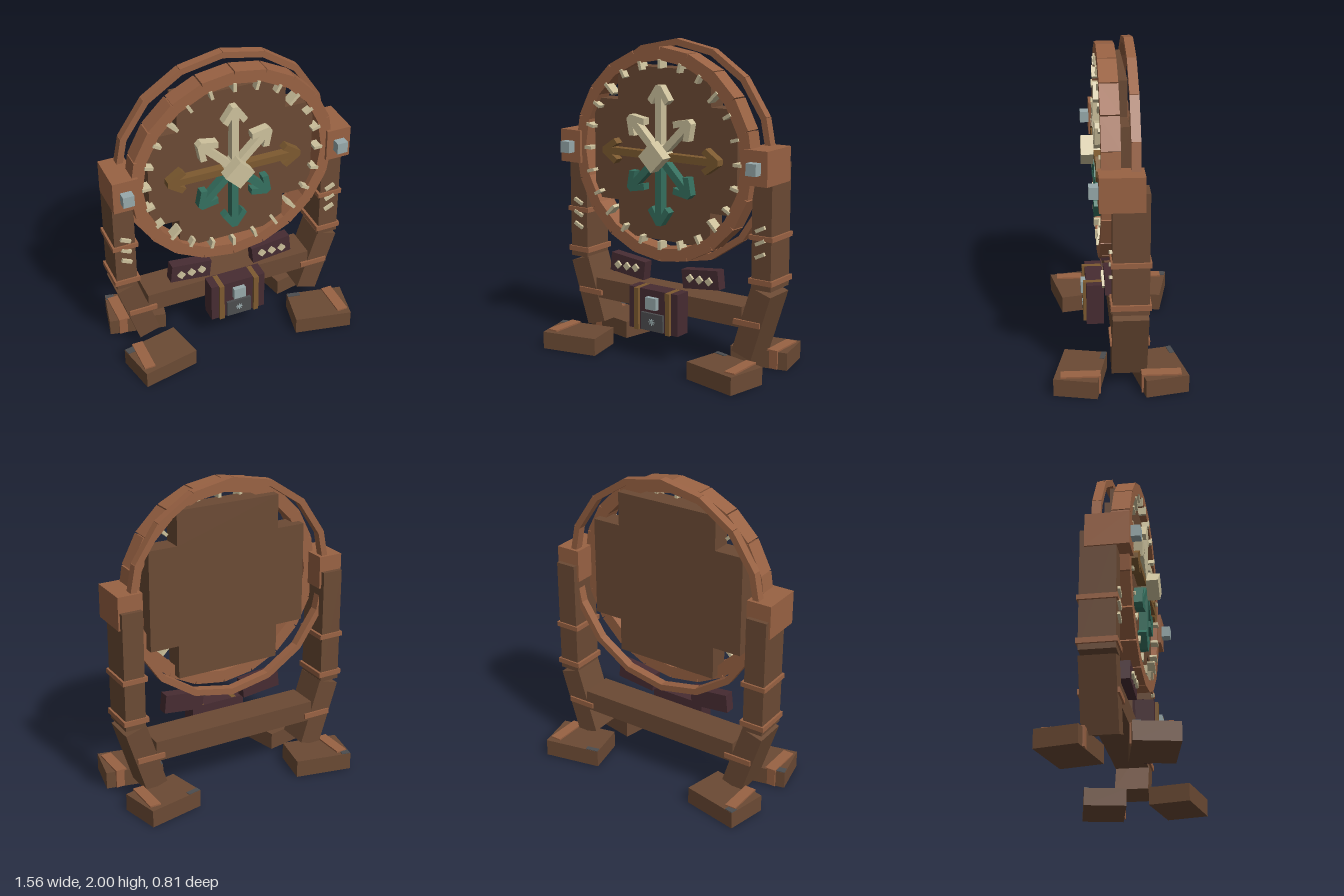
import * as THREE from 'three';

const mat = (name, color) => {
  const m = new THREE.MeshStandardMaterial({ color });
  m.name = name;
  return m;
};

export function createModel() {
  const wood = mat('dark wood', 0x6b4a34);
  const copper = mat('copper', 0x996243);
  const cream = mat('cream', 0xcdc19c);
  const gold = mat('old gold', 0x7d5a30);
  const teal = mat('teal', 0x35705f);
  const plum = mat('dark plum', 0x472c32);
  const glass = mat('pale blue glass', 0x97a9ab);
  const slate = mat('slate', 0x4c4d4f);

  const root = new THREE.Group();
  root.name = 'standingDial';
  const CY = 1.295; // dial centre height

  function group(name, parent = root) {
    const g = new THREE.Group();
    g.name = name;
    parent.add(g);
    return g;
  }

  // Box given by its x, y and z ranges, turned about its own centre
  function box(name, m, x, y, z, rotZ = 0, rotY = 0, parent = root) {
    const mesh = new THREE.Mesh(new THREE.BoxGeometry(x[1] - x[0], y[1] - y[0], z[1] - z[0]), m);
    mesh.position.set((x[0] + x[1]) / 2, (y[0] + y[1]) / 2, (z[0] + z[1]) / 2);
    mesh.rotation.set(0, rotY, rotZ);
    mesh.name = name;
    parent.add(mesh);
    return mesh;
  }
  const around = (c, size) => [c - size / 2, c + size / 2];
  const span = (s, a, b) => (s > 0 ? [a, b] : [-b, -a]);

  // Rings made of straight segments
  function ring(name, count, inner, outer, length, z) {
    const g = group(name);
    g.position.y = CY;
    for (let i = 0; i < count; i++) {
      const a = ((i + 0.5) / count) * Math.PI * 2;
      const r = (inner + outer) / 2;
      box('ringSegment', copper, around(-Math.sin(a) * r, length),
        around(Math.cos(a) * r, outer - inner), z, a, 0, g);
    }
  }
  ring('frontRing', 20, 0.578, 0.657, 0.2, [0, 0.112]);
  ring('backRing', 16, 0.651, 0.691, 0.272, [-0.112, -0.056]);

  // Stepped dial plate as one extruded cross
  const [a, b, c, d] = [0.348, 0.537, 0.537, 0.32];
  const cross = new THREE.Shape([
    [-a, -b], [a, -b], [a, -d], [c, -d], [c, d], [a, d],
    [a, b], [-a, b], [-a, d], [-c, d], [-c, -d], [-a, -d],
  ].map(([x, y]) => new THREE.Vector2(x, y)));
  const plate = new THREE.Mesh(
    new THREE.ExtrudeGeometry(cross, { depth: 0.131, bevelEnabled: false }), wood);
  plate.position.set(0, CY, -0.056);
  plate.name = 'dialPlate';
  root.add(plate);

  // Hour ticks
  const ticks = group('ticks');
  ticks.position.y = CY;
  for (let i = 0; i < 24; i++) {
    const t = (i / 24) * Math.PI * 2;
    const long = i % 6 === 3;
    const len = long ? 0.085 : 0.055;
    const r = 0.59 - len / 2;
    box('tick', cream, around(-Math.sin(t) * r, 0.02), around(Math.cos(t) * r, len),
      [0.05, 0.122], t, 0, ticks);
  }

  // Arrows radiating from the hub
  const arrows = group('arrows');
  arrows.position.set(0, CY, 0.07);
  function arrow(m, eighth, L) {
    const w = 0.023;
    const half = [[w, 0], [w, L - 0.075], [0.05, L - 0.118], [0.08, L - 0.09], [0.018, L]];
    const pts = [...half, ...half.map(([x, y]) => [-x, y]).reverse()];
    const shape = new THREE.Shape(pts.map(([x, y]) => new THREE.Vector2(x, y)));
    const mesh = new THREE.Mesh(
      new THREE.ExtrudeGeometry(shape, { depth: 0.06, bevelEnabled: false }), m);
    mesh.rotation.z = (eighth * Math.PI) / 4;
    mesh.name = 'arrow';
    arrows.add(mesh);
  }
  [cream, cream, gold, teal, teal, teal, gold, cream].forEach((m, i) => {
    arrow(m, i, i % 2 ? 0.325 : 0.435);
  });
  box('hub', cream, around(0, 0.134), around(CY + 0.002, 0.134), [0.07, 0.207], Math.PI / 4);

  // Stand: everything here is mirrored left and right
  for (const s of [1, -1]) {
    const side = group(s > 0 ? 'leftSupport' : 'rightSupport');
    const add = (name, m, x, y, z, rz = 0, ry = 0) =>
      box(name, m, span(s, ...x), y, z, s * rz, s * ry, side);

    add('post', wood, [0.632, 0.766], [0.545, 1.3], [-0.16, 0.055]);
    add('lowerLeg', wood, around(0.631, 0.143), around(0.322, 0.44), [-0.159, 0.054], -0.305);
    add('headBlock', copper, [0.617, 0.777], [1.19, 1.4], [-0.132, 0.132]);
    add('headGlass', glass, [0.663, 0.733], [1.257, 1.33], [0.12, 0.188]);

    // Bands round the legs
    add('band', copper, [0.615, 0.78], [0.85, 0.88], [-0.171, 0.066]);
    add('band', copper, [0.615, 0.78], [0.58, 0.613], [-0.171, 0.066]);
    add('band', copper, [0.512, 0.697], [0.308, 0.342], [-0.171, 0.066]);

    // Slanted notches on the post front
    for (const y of [0.92, 0.84, 0.76]) {
      add('notch', cream, around(0.695, 0.068), around(y, 0.022), [0.05, 0.072], 0.45);
    }

    // Splayed feet with straps and corner plates
    for (const f of [1, -1]) {
      add('foot', wood, around(0.565, 0.372), [0, 0.112], around(f * 0.238, 0.266), 0, -f * 0.206);
      add('footStrap', copper, [0.645, 0.716], [0.002, 0.122], span(f, 0.122, 0.362));
      const corner = group('cornerPlate', side);
      corner.position.set(s * 0.565, 0.113, f * 0.238);
      corner.rotation.y = -s * f * 0.206;
      box('cornerPlateTop', slate, s > 0 ? [-0.184, -0.1] : [-0.184, -0.128],
        [-0.003, 0.003], s > 0 ? [-0.131, -0.1] : [-0.131, -0.085], 0, 0, corner);
    }

    // Tilted sign with three diamonds
    add('sign', plum, around(0.28, 0.268), around(0.55, 0.12), [0.01, 0.08], 0.11);
    for (const dx of [-0.07, 0, 0.07]) {
      add('signDiamond', cream, around(0.28 + dx, 0.038), around(0.55, 0.038),
        [0.075, 0.096], Math.PI / 4);
    }
  }
  box('crossbar', wood, [-0.565, 0.565], [0.288, 0.42], [-0.159, 0.05]);

  // Chest on the crossbar
  const chest = group('chest');
  box('chestBody', plum, [-0.186, 0.186], [0.192, 0.46], [0.075, 0.185], 0, 0, chest);
  for (const s of [1, -1]) {
    box('chestStrap', gold, span(s, 0.103, 0.136), [0.191, 0.461], [0.08, 0.204], 0, 0, chest);
  }
  box('lockPlate', slate, [-0.083, 0.083], [0.2, 0.312], [0.18, 0.203], 0, 0, chest);
  box('chestGlass', glass, [-0.04, 0.04], [0.34, 0.417], [0.18, 0.216], 0, 0, chest);
  for (let i = 0; i < 4; i++) {
    box('lockStar', glass, around(0, 0.045), around(0.258, 0.006), [0.2, 0.206],
      (i * Math.PI) / 4, 0, chest);
  }
  return root;
}
